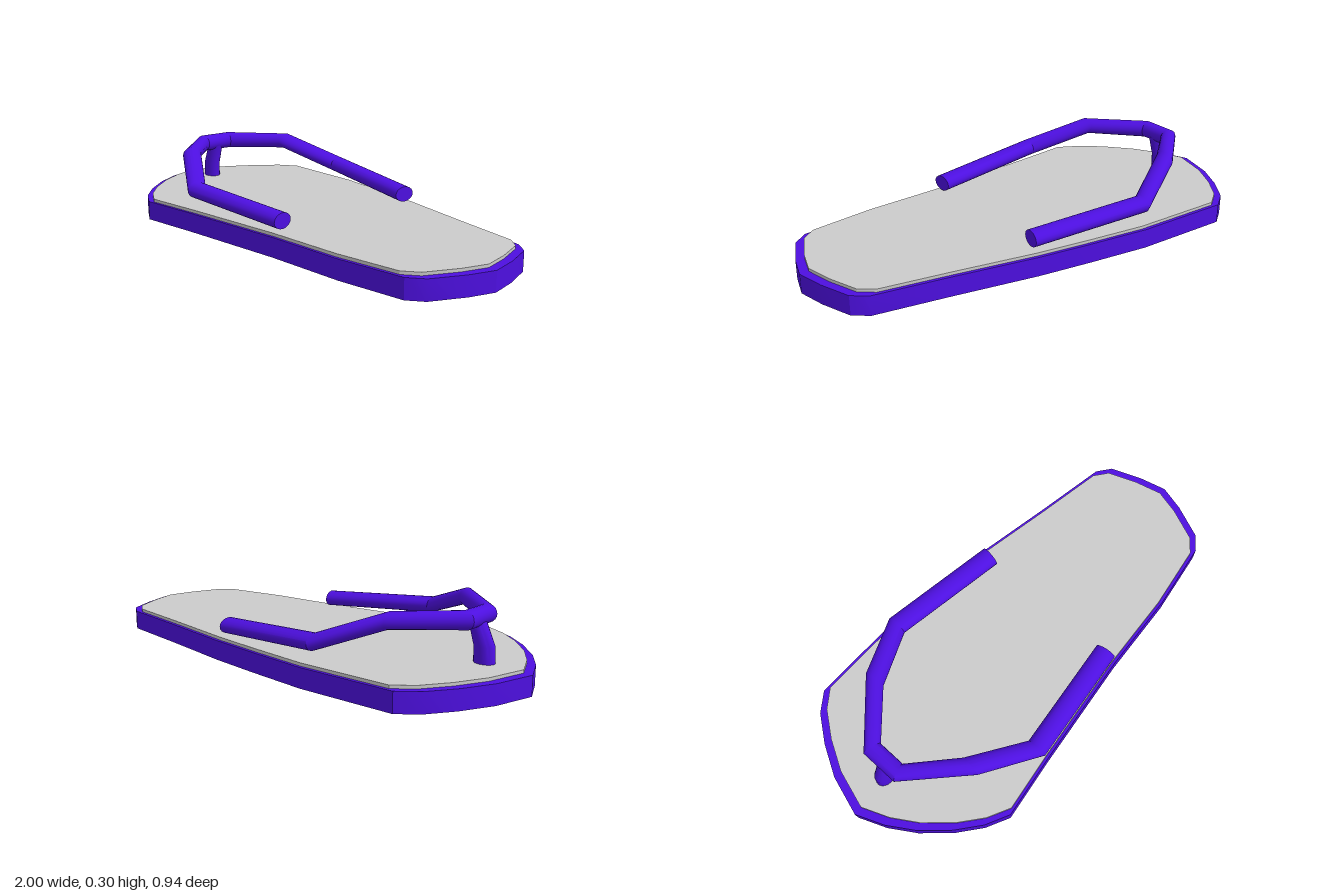
import * as THREE from 'three';
import { toCreasedNormals } from 'three/addons/utils/BufferGeometryUtils.js';

const purple = new THREE.MeshStandardMaterial({ color: 0x4d0fe0 });
const grey = new THREE.MeshStandardMaterial({ color: 0xcccccc });

// Footprint as [x, z]: toe at -x, heel at +x
const OUTLINE = [
  [-1, 0], [-0.95, -0.17], [-0.88, -0.3], [-0.8, -0.41], [-0.72, -0.47], [-0.3, -0.47],
  [-0.03, -0.44], [0.2, -0.41], [0.56, -0.345], [0.86, -0.295], [0.92, -0.25], [0.97, -0.12],
  [1, 0], [0.97, 0.11], [0.91, 0.25], [0.85, 0.3], [0.56, 0.345], [0.2, 0.37],
  [-0.3, 0.43], [-0.58, 0.47], [-0.68, 0.42], [-0.78, 0.34], [-0.88, 0.23], [-0.95, 0.12],
];

// Flat slab of the footprint, scaled in x and z, from y0 to y1
function slab(name, material, sx, sz, y0, y1) {
  const shape = new THREE.Shape(OUTLINE.map(([x, z]) => new THREE.Vector2(x * sx, -z * sz)));
  const geo = new THREE.ExtrudeGeometry(shape, { depth: y1 - y0, bevelEnabled: false });
  geo.rotateX(-Math.PI / 2).translate(0, y0, 0);
  const mesh = new THREE.Mesh(toCreasedNormals(geo, 0.5), material);
  mesh.name = name;
  return mesh;
}

// Capped tube through elliptical rings, each { c: centre, l, u: half axes }
function ringTube(name, rings, sides = 20) {
  const pos = [], index = [];
  for (const { c, l, u } of rings) {
    for (let j = 0; j < sides; j++) {
      const a = (j / sides) * Math.PI * 2;
      for (let k = 0; k < 3; k++) pos.push(c[k] + l[k] * Math.cos(a) + u[k] * Math.sin(a));
    }
  }
  const last = rings.length - 1, startCap = rings.length * sides;
  pos.push(...rings[0].c, ...rings[last].c);
  for (let j = 0; j < sides; j++) {
    const n = (j + 1) % sides;
    for (let i = 0; i < last; i++) {
      const a = i * sides + j, b = i * sides + n;
      index.push(a, b, a + sides, b, b + sides, a + sides);
    }
    index.push(startCap, n, j, startCap + 1, last * sides + j, last * sides + n);
  }
  const geo = new THREE.BufferGeometry();
  geo.setAttribute('position', new THREE.Float32BufferAttribute(pos, 3));
  geo.setIndex(index);
  const mesh = new THREE.Mesh(toCreasedNormals(geo, 0.5), purple);
  mesh.name = name;
  return mesh;
}

export function createModel() {
  const model = new THREE.Group();
  model.name = 'flipFlop';

  // Sole and thinner inset footbed
  model.add(slab('sole', purple, 1, 1, 0, 0.082));
  model.add(slab('footbed', grey, 0.963, 0.97, 0.082, 0.095));

  // Strap: one half from its rear end to the toe, mirrored about its own midline
  const mid = -0.017;
  const half = [
    { c: [0.195, 0.137, 0.332], l: [0.006, 0, 0.045], u: [0, 0.033, 0] },
    { c: [-0.32, 0.172, 0.397], l: [0, 0, 0.045], u: [0, 0.034, 0] },
    { c: [-0.565, 0.268, 0.265], l: [-0.006, 0, 0.044], u: [0, 0.034, 0] },
    { c: [-0.772, 0.265, 0.072], l: [-0.037, 0, 0.011], u: [0, 0.037, 0] },
  ];
  const side = (s) => half.map(({ c, l, u }) => ({
    c: [c[0], c[1], mid + s * c[2]], l: [l[0], l[1], s * l[2]], u,
  }));
  model.add(ringTube('strap', [...side(1), ...side(-1).reverse()]));

  // Toe post leaning back into the strap
  const post = [[-0.808, 0.085], [-0.805, 0.16], [-0.772, 0.25]].map(([x, y], i) => ({
    c: [x, y, -0.013], l: [0, 0, 0.033], u: [i === 2 ? 0.034 : 0.043, 0, 0],
  }));
  model.add(ringTube('toePost', post));

  return model;
}
